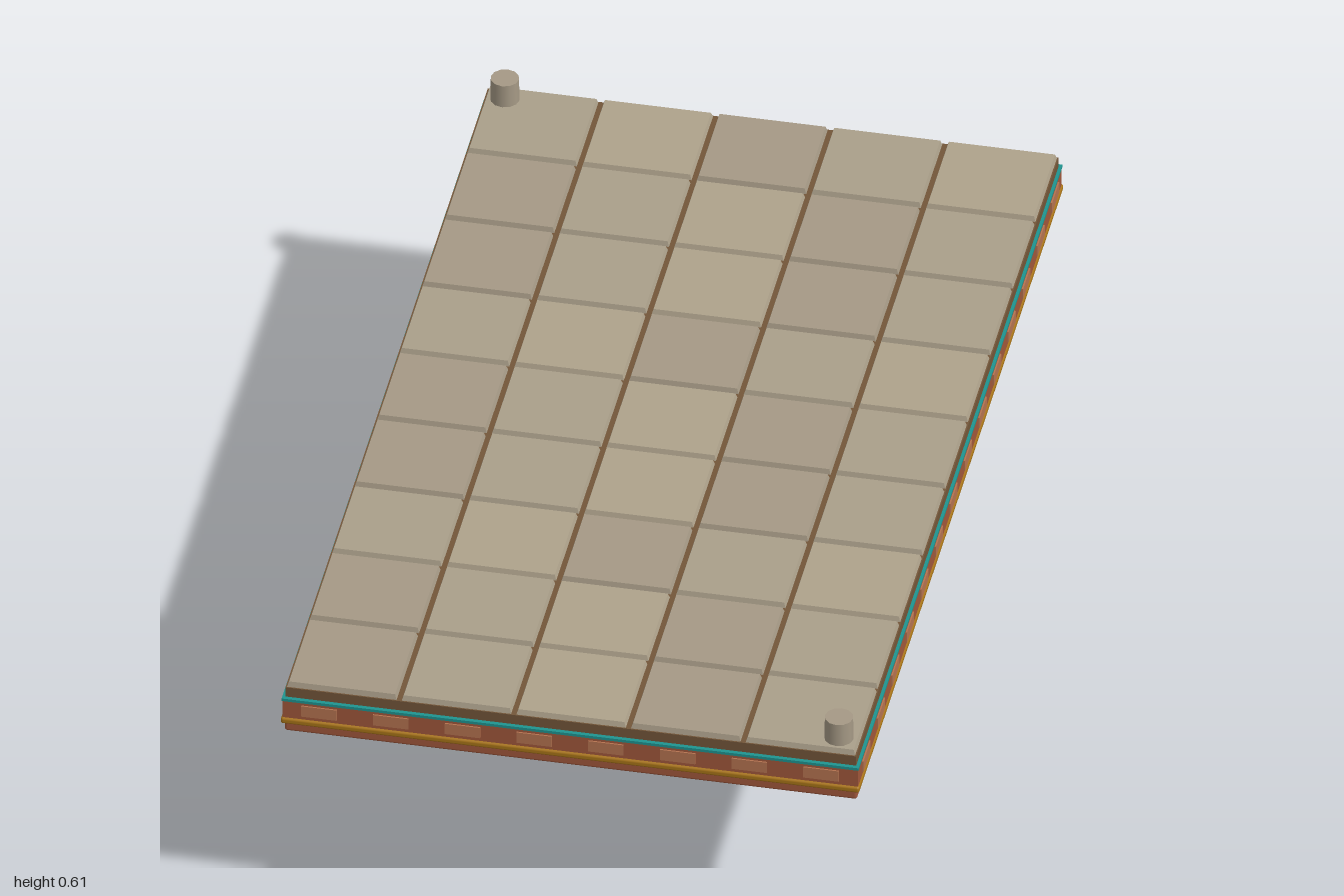
import * as THREE from 'three';
import { RoundedBoxGeometry } from 'three/addons/geometries/RoundedBoxGeometry.js';

const mat = (color, extra = {}) => new THREE.MeshStandardMaterial({ color, ...extra });
const stones = [mat(0xaa9f8a), mat(0xa59985), mat(0xaea28b)];
const mats = {
  earth: mat(0x6b3526, { flatShading: true }),
  brick: mat(0xa0573b),
  paleBrick: mat(0xb57350),
  gold: mat(0xa87418),
  teal: mat(0x1f9490),
  slab: mat(0x735639),
};

function add(parent, name, geometry, material, x = 0, y = 0, z = 0) {
  const mesh = new THREE.Mesh(geometry, material);
  mesh.name = name;
  mesh.position.set(x, y, z);
  parent.add(mesh);
  return mesh;
}

// Full-footprint layer between two heights
function layer(parent, name, material, halfX, halfZ, y0, y1, radius = 0) {
  const size = [halfX * 2, y1 - y0, halfZ * 2];
  const geo = radius ? new RoundedBoxGeometry(...size, 2, radius) : new THREE.BoxGeometry(...size);
  return add(parent, name, geo, material, 0, (y0 + y1) / 2, 0);
}

// Box whose top face is drawn in on all sides
function taperedBox(w, h, d, inset) {
  const geo = new THREE.BoxGeometry(w, h, d).toNonIndexed();
  const p = geo.attributes.position;
  for (let i = 0; i < p.count; i++) {
    if (p.getY(i) < 0) continue;
    p.setX(i, p.getX(i) - Math.sign(p.getX(i)) * inset);
    p.setZ(i, p.getZ(i) - Math.sign(p.getZ(i)) * inset);
  }
  geo.computeVertexNormals();
  return geo;
}

// Ten-sided rocky underside: uneven squared-oval rings shrinking to a point
function rockGeometry() {
  const sides = 10;
  const rings = [
    { y: 0.45, f: Array(sides).fill(1) },
    { y: 0.315, f: [0.77, 0.8, 0.8, 0.89, 0.81, 0.84, 0.82, 0.92, 0.95, 0.8] },
    { y: 0.19, f: [0.49, 0.52, 0.5, 0.56, 0.5, 0.51, 0.52, 0.55, 0.56, 0.5] },
    { y: 0.08, f: [0.16, 0.18, 0.17, 0.18, 0.2, 0.2, 0.19, 0.19, 0.19, 0.18] },
    { y: 0, f: Array(sides).fill(0) },
  ];
  const squash = (v) => (Math.abs(v) < 1e-6 ? 0 : Math.sign(v) * Math.abs(v) ** 0.45);
  const pos = [];
  const index = [];
  for (const { y, f } of rings) {
    for (let k = 0; k < sides; k++) {
      const a = (k / sides) * Math.PI * 2;
      pos.push(0.547 * squash(Math.sin(a)) * f[k], y, 0.98 * squash(Math.cos(a)) * f[k]);
    }
  }
  for (let r = 0; r < rings.length - 1; r++) {
    for (let k = 0; k < sides; k++) {
      const a = r * sides + k;
      const b = r * sides + ((k + 1) % sides);
      index.push(a, a + sides, b);
      if (r < rings.length - 2) index.push(b, a + sides, b + sides);
    }
  }
  const geo = new THREE.BufferGeometry();
  geo.setAttribute('position', new THREE.Float32BufferAttribute(pos, 3));
  geo.setIndex(index);
  const flat = geo.toNonIndexed();
  flat.computeVertexNormals();
  return flat;
}

export function createModel() {
  const model = new THREE.Group();
  model.name = 'floatingPlatform';

  add(model, 'rockUnderside', rockGeometry(), mats.earth);

  // Stacked edge courses
  layer(model, 'baseTrim', mats.brick, 0.567, 0.992, 0.445, 0.469, 0.006);
  layer(model, 'goldBand', mats.gold, 0.573, 1, 0.467, 0.481, 0.005);
  layer(model, 'brickCourse', mats.brick, 0.57, 0.996, 0.481, 0.521);
  layer(model, 'tealStrip', mats.teal, 0.571, 0.998, 0.521, 0.527);
  layer(model, 'floorSlab', mats.slab, 0.565, 0.99, 0.527, 0.549);

  // Raised bricks around the edge
  const bricks = new THREE.Group();
  bricks.name = 'edgeBricks';
  model.add(bricks);
  const frontBrick = new THREE.BoxGeometry(0.07, 0.025, 0.012);
  const sideBrick = new THREE.BoxGeometry(0.012, 0.025, 0.07);
  for (const s of [-1, 1]) {
    for (let i = 0; i < 8; i++) add(bricks, 'endBrick', frontBrick, mats.paleBrick, (i - 3.5) * 0.142, 0.502, s * 0.993);
    for (let i = 0; i < 14; i++) add(bricks, 'sideBrick', sideBrick, mats.paleBrick, s * 0.567, 0.502, (i - 6.5) * 0.142);
  }

  // Paving: 5 by 9 bevelled tiles
  const paving = new THREE.Group();
  paving.name = 'paving';
  model.add(paving);
  const tile = taperedBox(0.218, 0.013, 0.212, 0.004);
  for (let i = 0; i < 5; i++) {
    for (let j = 0; j < 9; j++) {
      add(paving, 'pavingTile', tile, stones[(i * 2 + j * j) % 3], (i - 2) * 0.227, 0.5535, (j - 4) * 0.2205);
    }
  }

  // Short posts on two opposite corners
  const post = new THREE.CylinderGeometry(0.028, 0.029, 0.055, 12);
  for (const s of [-1, 1]) add(model, 'cornerPost', post, stones[1], s * 0.523, 0.5825, s * 0.95);

  return model;
}
